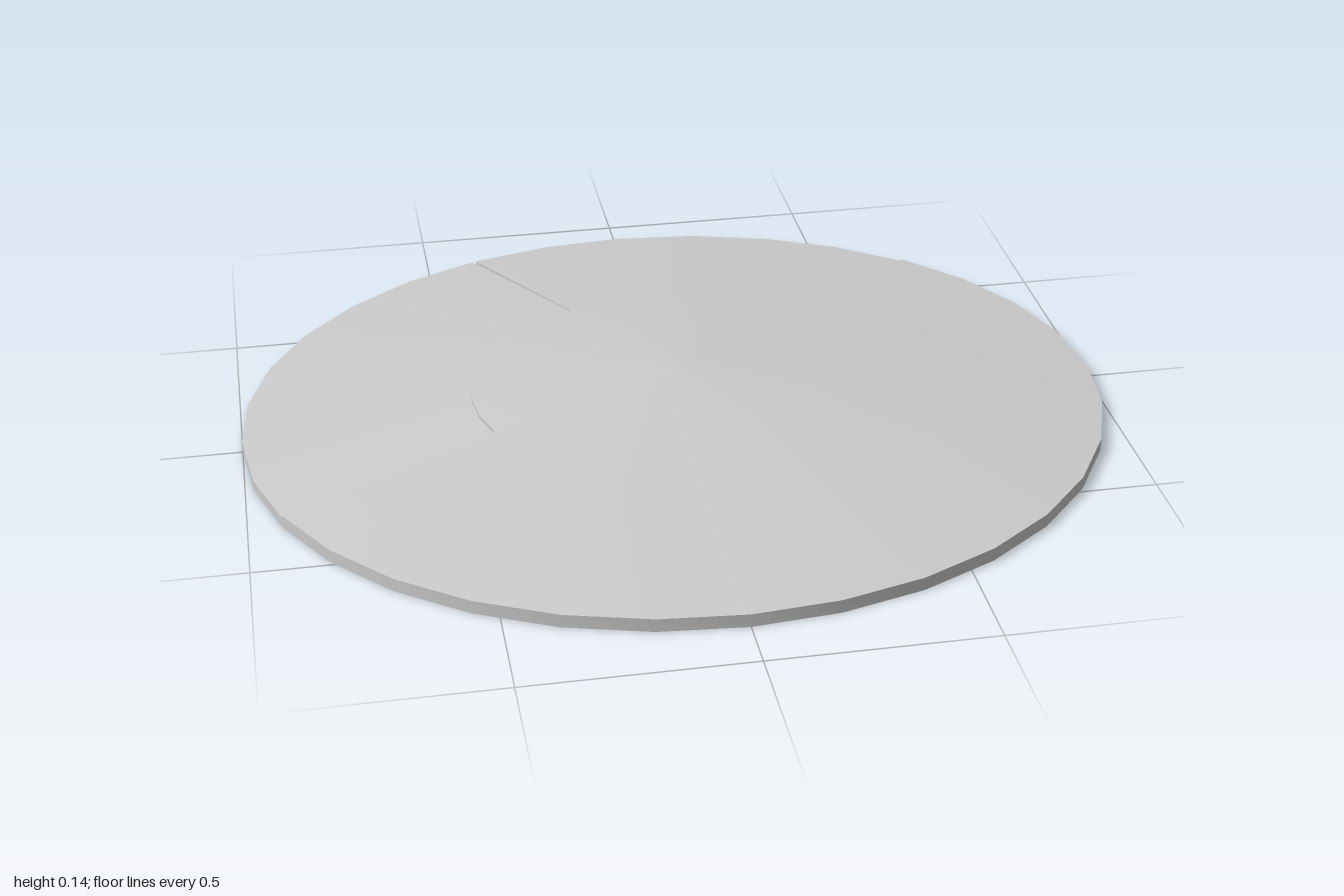
import * as THREE from 'three';
import { toCreasedNormals } from 'three/addons/utils/BufferGeometryUtils.js';

const DEPTH = 0.88; // z radius of the oval
const rad = THREE.MathUtils.degToRad;
const INNER = 0.475, TIP = 0.065, TOP = 0.135, RIM = 0.031;
const coneY = r => RIM + (TOP - RIM) * (1 - r) / (1 - TIP);

export function createModel() {
  const group = new THREE.Group();
  const material = new THREE.MeshStandardMaterial({ color: 0xcccccc, side: THREE.DoubleSide });

  const add = (name, geometry) => {
    const mesh = new THREE.Mesh(geometry, material);
    mesh.name = name;
    group.add(mesh);
  };

  // Wedge of the disc between two angles (from +x towards +z), closed below
  const wedge = (name, from, to, segments, upper) => {
    const points = [[0, 0], [1, 0], ...upper, [TIP, TOP], [0, TOP]].map(p => new THREE.Vector2(...p));
    const geo = new THREE.LatheGeometry(points, segments, rad(90 - to), rad(to - from));
    geo.scale(1, 1, DEPTH);
    // Two lower rim corners are pulled out of line
    const pos = geo.attributes.position;
    for (const [angle, x, z] of [[-33.75, 0.78, -0.575], [-11.25, 0.975, -0.25]]) {
      const cx = Math.cos(rad(angle)), cz = DEPTH * Math.sin(rad(angle));
      for (let i = 0; i < pos.count; i++) {
        if (pos.getY(i) < 0.001 && Math.hypot(pos.getX(i) - cx, pos.getZ(i) - cz) < 0.01) pos.setXYZ(i, x, 0, z);
      }
    }
    add(name, toCreasedNormals(geo, 0.4));
  };

  // Upper profile with the outer part sunk below the cone
  const sunk = (inner, outer) => [[1, RIM - outer], [INNER, coneY(INNER) - inner], [INNER, coneY(INNER)]];

  wedge('mainShell', -45, 157.5, 18, [[1, RIM]]);
  wedge('rightPanel', 157.5, 247.2, 8, sunk(0.008, 0.005));
  wedge('panelSeam', 247.2, 247.8, 1, sunk(0.018, 0.015));
  wedge('backPanel', 247.8, 315, 6, sunk(0.008, 0.005));

  // Upright step faces along the straight panel edges
  const step = (name, angle, high, low) => {
    const shape = new THREE.Shape([
      [INNER, coneY(INNER) - low[0]], [1, RIM - low[1]],
      [1, RIM - high[1]], [INNER, coneY(INNER) - high[0]],
    ].map(p => new THREE.Vector2(...p)));
    const geo = new THREE.ShapeGeometry(shape);
    geo.rotateY(-rad(angle));
    geo.scale(1, 1, DEPTH);
    geo.computeVertexNormals();
    add(name, geo);
  };
  for (const angle of [157.5, 315]) step('panelEdge', angle, [0, 0], [0.008, 0.005]);
  for (const angle of [247.2, 247.8]) step('seamWall', angle, [0.008, 0.005], [0.018, 0.015]);

  return group;
}
